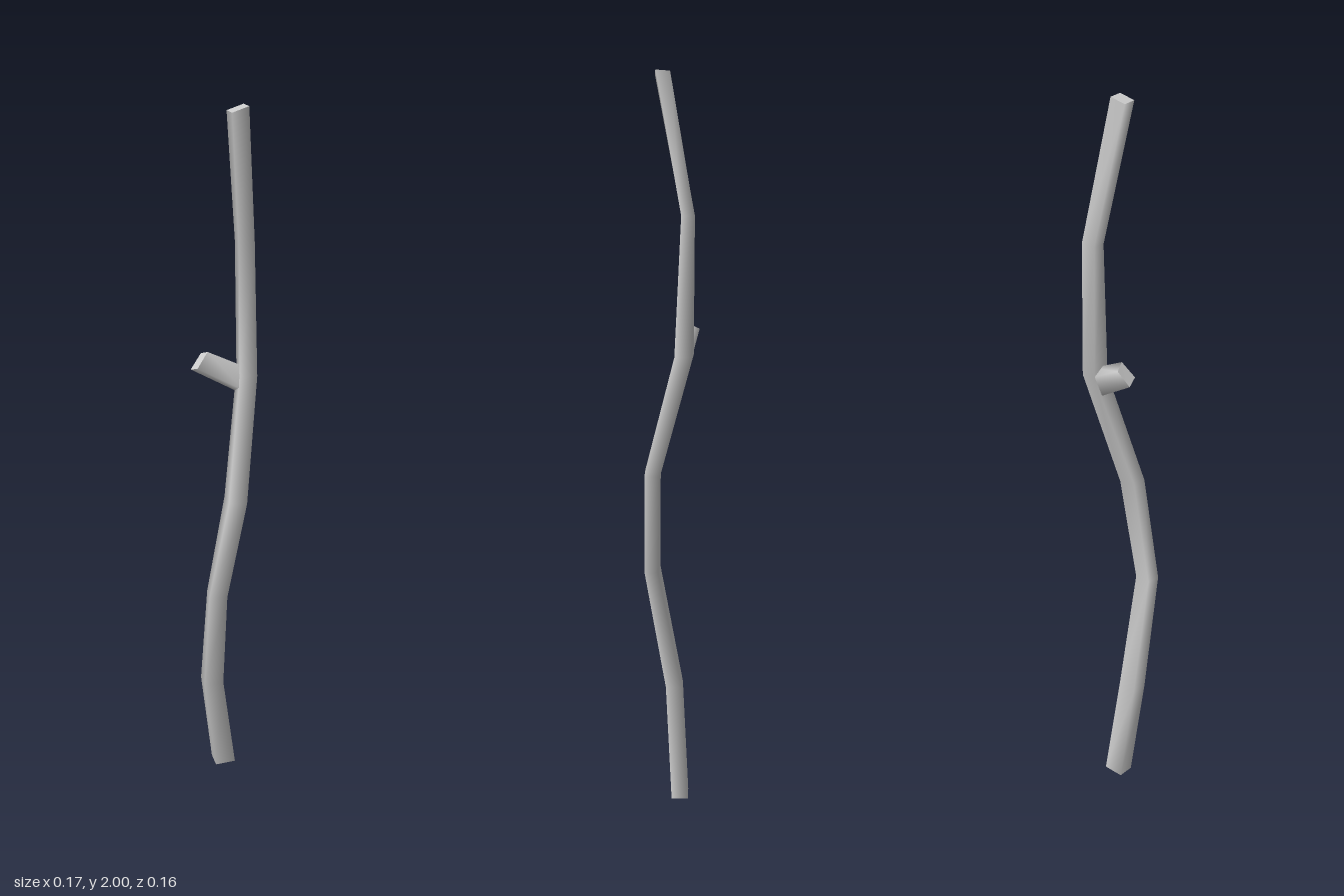
import * as THREE from 'three';

const material = new THREE.MeshStandardMaterial({ color: 0xcccccc });

// Skin a list of four-cornered rings (counter-clockwise seen from the far end) with smooth sides and flat caps
function loft(name, rings) {
  const n = rings[0].length;
  const group = new THREE.Group();
  group.name = name;
  const add = (part, points, index) => {
    const g = new THREE.BufferGeometry().setFromPoints(points);
    g.setIndex(index);
    g.computeVertexNormals();
    const mesh = new THREE.Mesh(g, material);
    mesh.name = part;
    group.add(mesh);
  };
  const index = [];
  for (let r = 0; r < rings.length - 1; r++) {
    for (let i = 0; i < n; i++) {
      const a = r * n + i, b = r * n + (i + 1) % n;
      index.push(a, b, b + n, a, b + n, a + n);
    }
  }
  add(name + 'Bark', rings.flat(), index);
  add(name + 'StartCap', rings[0], [0, 2, 1, 0, 3, 2]);
  add(name + 'EndCap', rings[rings.length - 1], [0, 1, 2, 0, 2, 3]);
  return group;
}

// Stem sections: x, y, z, width, depth, roll, sideways slope of the ring
const stemSections = [
  [-0.005, 0, -0.028, 0.06, 0.046, 0.2, 0],
  [-0.04, 0.32, -0.003, 0.056, 0.045, 0.17, 0.05],
  [-0.029, 0.66, 0.057, 0.05, 0.038, 0.1, -0.08],
  [0.023, 0.95, 0.043, 0.051, 0.042, 0.2, -0.15],
  [0.06, 1.28, -0.052, 0.047, 0.045, 0.1, -0.03],
  [0.053, 1.64, -0.06, 0.042, 0.034, 0.2, 0.05],
  [0.027, 1.992, 0.013, 0.043, 0.037, 0.27, 0.28],
];
const corners = [[-1, 1], [1, 1], [1, -1], [-1, -1]];

function stemRing([x, y, z, w, d, roll, slope]) {
  const c = Math.cos(roll), s = Math.sin(roll);
  return corners.map(([i, k]) => {
    const u = i * w / 2, v = k * d / 2;
    const dx = u * c + v * s, dz = v * c - u * s;
    return new THREE.Vector3(x + dx, y + slope * dx, z + dz);
  });
}

// Diamond section of the side twig, square to its axis
const twigSection = [[-0.022, -0.026, -0.005], [-0.006, -0.012, 0.024], [0.022, 0.026, 0.003], [0.006, 0.012, -0.022]];
const twigRing = (x, y, z, k) =>
  twigSection.map(([a, b, c]) => new THREE.Vector3(x + a * k, y + b * k, z + c * k));

export function createModel() {
  const model = new THREE.Group();
  model.name = 'stick';
  model.add(loft('stem', stemSections.map(stemRing)));
  model.add(loft('twig', [twigRing(0.055, 1.26, -0.047, 1.15), twigRing(-0.066, 1.323, -0.045, 1)]));
  return model;
}
